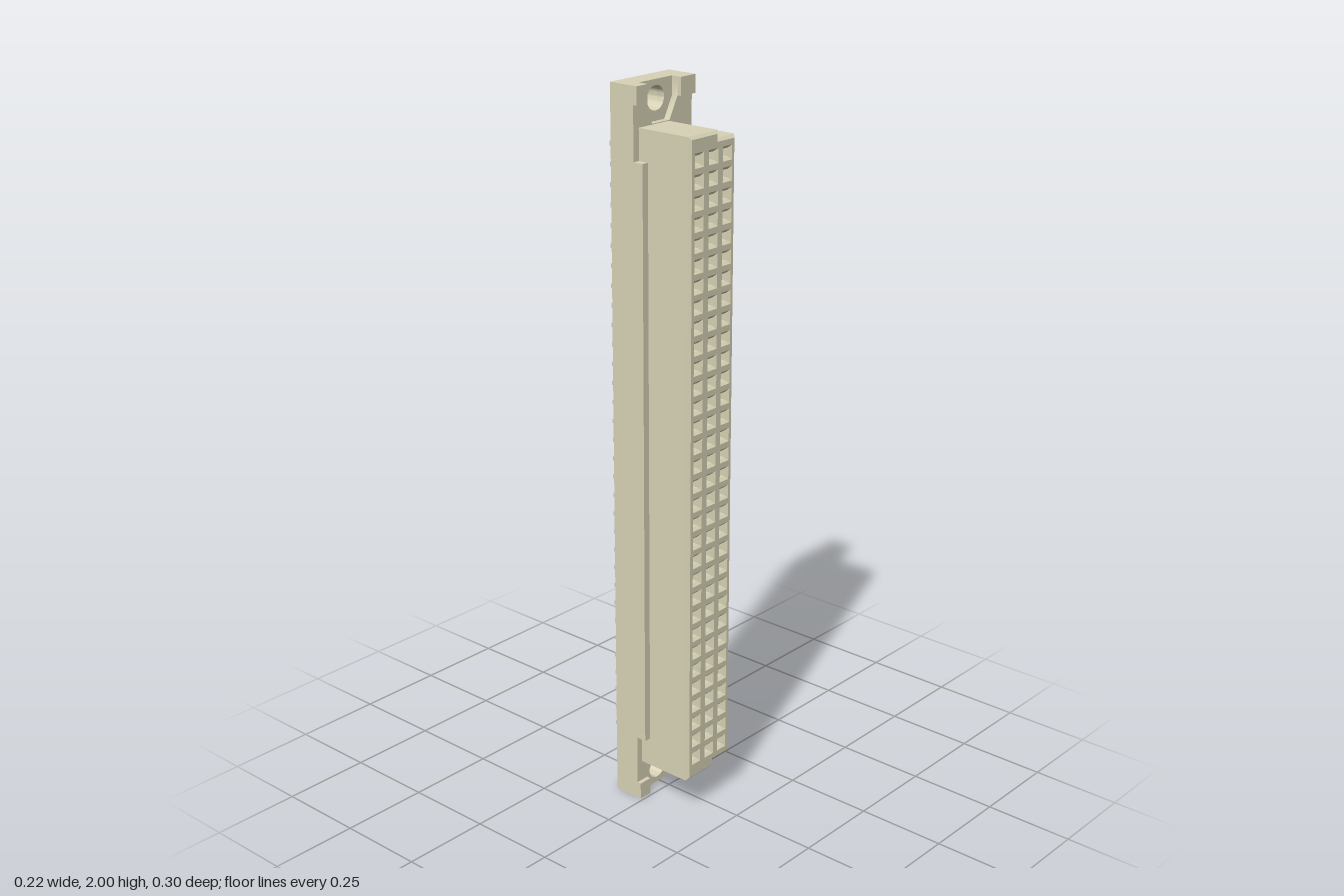
import * as THREE from 'three';
import { toCreasedNormals } from 'three/addons/utils/BufferGeometryUtils.js';

const ROWS = 32, PITCH = 0.0536, COLUMNS = [-0.054, 0, 0.053];
const HOLE_X = -0.0075, HOLE_Y = 0.953;

const plastic = new THREE.MeshStandardMaterial({ color: 0xd8d3b6 });
const metal = new THREE.MeshStandardMaterial({ color: 0xcccccc });

const rowY = (i) => (i - (ROWS - 1) / 2) * PITCH;

function polygon(points) {
  return new THREE.Shape(points.map(([x, y]) => new THREE.Vector2(x, y)));
}

function rectPath(x, y, w, h) {
  return polygon([[x - w / 2, y - h / 2], [x - w / 2, y + h / 2], [x + w / 2, y + h / 2], [x + w / 2, y - h / 2]]);
}

// Rectangular openings for every contact position
function contactHoles(shape, w, h) {
  for (const x of COLUMNS) {
    for (let i = 0; i < ROWS; i++) shape.holes.push(rectPath(x, rowY(i), w, h));
  }
}

function addMesh(group, name, geometry, material = plastic) {
  const mesh = new THREE.Mesh(geometry, material);
  mesh.name = name;
  group.add(mesh);
  return mesh;
}

function addLayer(group, name, shape, z0, z1) {
  const geometry = new THREE.ExtrudeGeometry(shape, { depth: z1 - z0, bevelEnabled: false, curveSegments: 16 });
  geometry.translate(0, 0, z0);
  return addMesh(group, name, toCreasedNormals(geometry, 0.6));
}

function addBox(group, name, x0, x1, y0, y1, z0, z1, material) {
  const geometry = new THREE.BoxGeometry(x1 - x0, y1 - y0, z1 - z0);
  geometry.translate((x0 + x1) / 2, (y0 + y1) / 2, (z0 + z1) / 2);
  return addMesh(group, name, geometry, material);
}

// Flange outline with a round mounting hole at each end
function flangeShape() {
  const shape = polygon([[-0.11, -1], [0.11, -1], [0.11, 1], [-0.11, 1]]);
  for (const s of [-1, 1]) {
    shape.holes.push(new THREE.Path().absarc(HOLE_X, s * HOLE_Y, 0.032, 0, Math.PI * 2, true));
  }
  return shape;
}

export function createModel() {
  const model = new THREE.Group();
  model.name = 'connector';
  const body = new THREE.Group();
  body.name = 'body';
  body.position.y = 1;
  model.add(body);

  // Mounting flange: the rear layer has the pin slots
  const rear = flangeShape();
  contactHoles(rear, 0.007, 0.013);
  addLayer(body, 'flangeRear', rear, -0.097, -0.06);
  addLayer(body, 'flangeMiddle', flangeShape(), -0.06, -0.038);

  // Front layer with a funnel-shaped recess around each mounting hole
  const funnel = [[-0.07, 1], [-0.07, 0.952], [-0.04, 0.895], [0.025, 0.895], [0.055, 0.952], [0.055, 1]];
  const front = polygon([
    [-0.11, 1], ...funnel, [0.11, 1], [0.11, -1],
    ...funnel.map(([x, y]) => [x, -y]).reverse(), [-0.11, -1],
  ]);
  addLayer(body, 'flangeFront', front, -0.038, -0.02);

  // Raised corner blocks and the long shoulder
  for (const s of [-1, 1]) {
    const y0 = s > 0 ? 0.952 : -1, y1 = s > 0 ? 1 : -0.952;
    addBox(body, 'cornerBlock', -0.11, -0.07, y0, y1, -0.02, -0.008);
    addBox(body, 'cornerBlock', 0.055, 0.11, y0, y1, -0.02, -0.008);
  }
  addBox(body, 'shoulder', -0.11, 0.11, -0.81, 0.81, -0.02, 0.01);
  for (const s of [-1, 1]) {
    addBox(body, 'pocketFloor', -0.085, 0.08, s > 0 ? 0.81 : -0.865, s > 0 ? 0.865 : -0.81, -0.02, 0.01);
  }

  // Stepped housing with chamfered front edge and flared contact openings
  const housing = polygon([
    [-0.09, -0.893], [0.022, -0.893], [0.022, -0.873], [0.087, -0.873],
    [0.087, 0.873], [0.022, 0.873], [0.022, 0.893], [-0.09, 0.893],
  ]);
  contactHoles(housing, 0.019, 0.022);
  const bevel = 0.008;
  const housingGeometry = new THREE.ExtrudeGeometry(housing, {
    depth: 0.17, bevelEnabled: true, bevelSegments: 1,
    bevelThickness: bevel, bevelSize: bevel, bevelOffset: -bevel,
  });
  housingGeometry.translate(0, 0, 0.147 - 0.17 - bevel);
  addMesh(body, 'housing', housingGeometry);

  // Forked contacts in every opening, rear pins in one column only
  const leaf = new THREE.BoxGeometry(0.004, 0.012, 0.11);
  const pin = new THREE.BoxGeometry(0.006, 0.012, 0.09);
  const contacts = new THREE.Group();
  contacts.name = 'contacts';
  body.add(contacts);
  for (let i = 0; i < ROWS; i++) {
    for (const x of COLUMNS) {
      for (const s of [-1, 1]) {
        addMesh(contacts, 'contactLeaf', leaf, metal).position.set(x + s * 0.006, rowY(i), 0.06);
      }
    }
    addMesh(contacts, 'rearPin', pin, metal).position.set(COLUMNS[0], rowY(i), -0.105);
  }
  return model;
}
